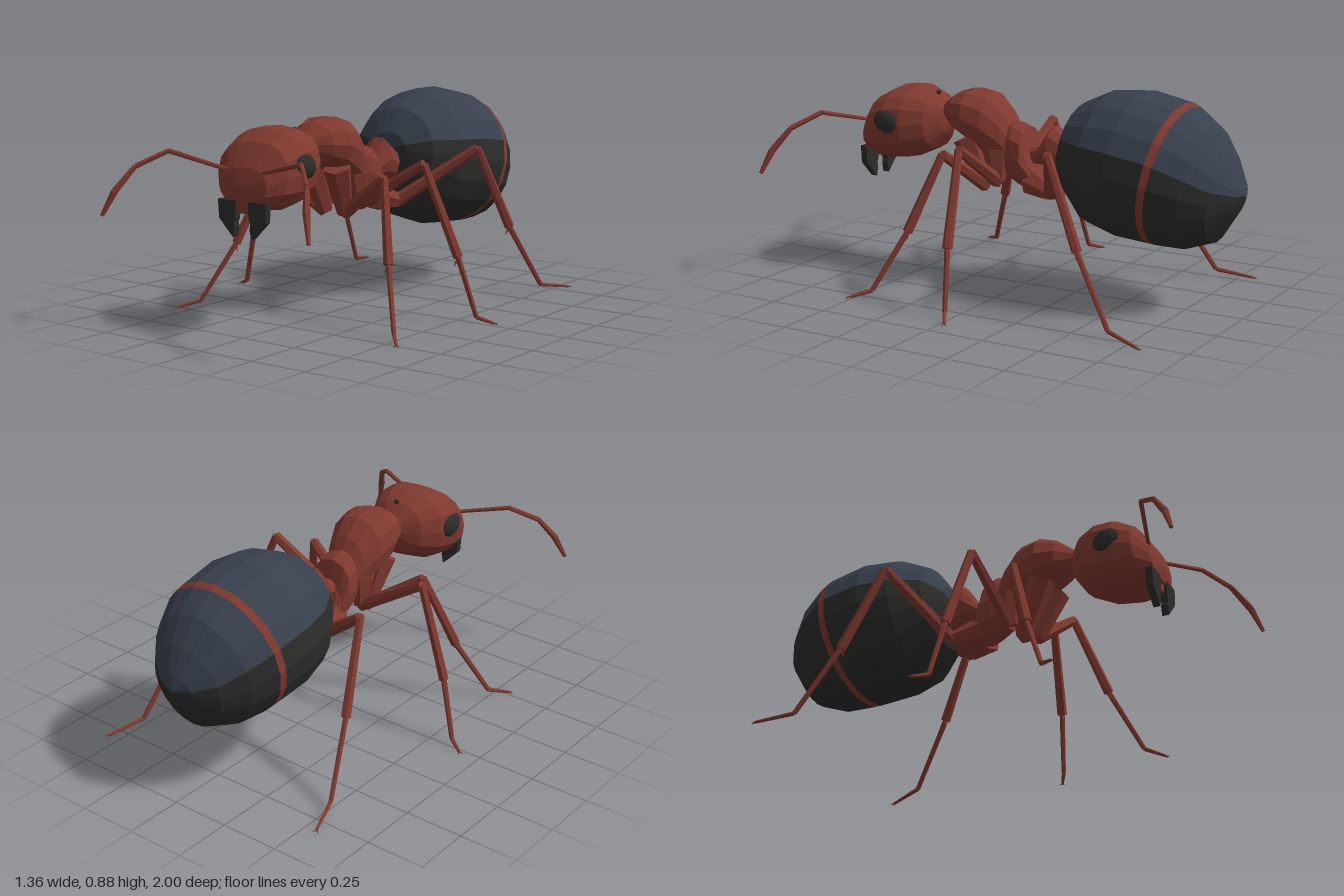
import * as THREE from 'three';

const mat = (name, color) => {
  const m = new THREE.MeshStandardMaterial({ color });
  m.name = name;
  m.flatShading = true;
  return m;
};

export function createModel() {
  const red = mat('rust red', 0x80392f);
  const blue = mat('slate blue', 0x38404d);
  const black = mat('soot black', 0x2c2c2b);
  const model = new THREE.Group();
  model.name = 'ant';

  const add = (name, geometry, material, parent = model) => {
    const mesh = new THREE.Mesh(geometry, material);
    mesh.name = name;
    parent.add(mesh);
    return mesh;
  };

  // Skin through rings ordered front to back: [top z, top y, bottom z, bottom y, half width]
  const loft = (rings, sides, power = 1, keep = () => true) => {
    const point = ([tz, ty, bz, by, w], j) => {
      const a = (j / sides) * Math.PI * 2;
      const bulge = (v) => Math.sign(v) * Math.pow(Math.abs(v), power);
      const c = bulge(Math.cos(a)) * w, s = bulge(Math.sin(a)) / 2;
      return [c, (ty + by) / 2 + (ty - by) * s, (tz + bz) / 2 + (tz - bz) * s];
    };
    const pos = [];
    for (let i = 0; i < rings.length - 1; i++) {
      for (let j = 0; j < sides; j++) {
        if (!keep(i, j)) continue;
        const a = point(rings[i], j), b = point(rings[i + 1], j);
        const c = point(rings[i + 1], j + 1), d = point(rings[i], j + 1);
        if (rings[i + 1][4] > 0) pos.push(...a, ...b, ...c);
        else pos.push(...a, ...b, ...d);
        if (rings[i][4] > 0 && rings[i + 1][4] > 0) pos.push(...a, ...c, ...d);
      }
    }
    const g = new THREE.BufferGeometry();
    g.setAttribute('position', new THREE.Float32BufferAttribute(pos, 3));
    g.computeVertexNormals();
    return g;
  };

  // Tapered limb segment between two points
  const segment = (name, from, to, r0, r1, parent) => {
    const a = new THREE.Vector3(...from), b = new THREE.Vector3(...to);
    const dir = b.clone().sub(a);
    const mesh = add(name, new THREE.CylinderGeometry(r1, r0, dir.length(), 6), red, parent);
    mesh.position.copy(a).add(b).multiplyScalar(0.5);
    mesh.quaternion.setFromUnitVectors(new THREE.Vector3(0, 1, 0), dir.normalize());
    return mesh;
  };

  // Abdomen: slate back, black belly, one red band
  const abdomen = [
    [-0.215, 0.64, -0.215, 0.64, 0],
    [-0.22, 0.71, -0.21, 0.57, 0.09],
    [-0.29, 0.81, -0.235, 0.44, 0.2],
    [-0.42, 0.87, -0.34, 0.32, 0.275],
    [-0.56, 0.88, -0.47, 0.28, 0.303],
    [-0.73, 0.845, -0.62, 0.268, 0.298],
    [-0.76, 0.832, -0.65, 0.265, 0.293],
    [-0.86, 0.76, -0.77, 0.262, 0.243],
    [-0.93, 0.66, -0.88, 0.3, 0.17],
    [-0.98, 0.56, -0.96, 0.42, 0.08],
    [-1.0, 0.5, -1.0, 0.5, 0],
  ];
  const band = 5;
  const isBack = (j) => j >= 1 && j < 9;
  add('abdomenBack', loft(abdomen, 20, 1, (i, j) => i !== band && isBack(j)), blue);
  add('abdomenBelly', loft(abdomen, 20, 1, (i, j) => i !== band && !isBack(j)), black);
  add('abdomenBand', loft(abdomen, 20, 1, (i) => i === band), red);

  // Head
  add('head', loft([
    [0.76, 0.59, 0.76, 0.59, 0],
    [0.735, 0.67, 0.75, 0.525, 0.115],
    [0.67, 0.765, 0.7, 0.5, 0.175],
    [0.59, 0.808, 0.62, 0.488, 0.193],
    [0.51, 0.812, 0.52, 0.5, 0.18],
    [0.43, 0.785, 0.42, 0.545, 0.13],
    [0.375, 0.73, 0.375, 0.61, 0.06],
    [0.355, 0.66, 0.355, 0.66, 0],
  ], 16, 0.82), red);

  // Thorax, rear thorax and waist
  add('thorax', loft([
    [0.39, 0.72, 0.39, 0.72, 0],
    [0.37, 0.755, 0.37, 0.685, 0.05],
    [0.31, 0.8, 0.31, 0.64, 0.11],
    [0.24, 0.822, 0.23, 0.6, 0.14],
    [0.15, 0.81, 0.14, 0.54, 0.13],
    [0.08, 0.745, 0.07, 0.5, 0.1],
    [0.04, 0.68, 0.03, 0.47, 0.08],
    [0.03, 0.58, 0.03, 0.58, 0],
  ], 12, 0.9), red);
  add('rearThorax', loft([
    [0.07, 0.58, 0.07, 0.58, 0],
    [0.06, 0.695, 0.06, 0.46, 0.08],
    [0.03, 0.7, 0.0, 0.43, 0.1],
    [-0.02, 0.68, -0.04, 0.415, 0.105],
    [-0.045, 0.58, -0.09, 0.4, 0.085],
    [-0.07, 0.52, -0.14, 0.385, 0.07],
    [-0.14, 0.49, -0.18, 0.385, 0.05],
    [-0.18, 0.45, -0.18, 0.45, 0],
  ], 12, 0.9), red);
  add('waist', loft([
    [-0.02, 0.55, -0.02, 0.55, 0],
    [-0.03, 0.6, -0.04, 0.5, 0.04],
    [-0.08, 0.605, -0.07, 0.53, 0.05],
    [-0.145, 0.7, -0.13, 0.52, 0.075],
    [-0.2, 0.66, -0.2, 0.51, 0.07],
    [-0.235, 0.64, -0.235, 0.55, 0.05],
    [-0.24, 0.6, -0.24, 0.6, 0],
  ], 10), red);

  // Small simple eye on the crown
  const ocellus = add('crownEye', new THREE.SphereGeometry(0.011, 8, 6), black);
  ocellus.position.set(0, 0.785, 0.425);

  // Mouth
  const lip = add('lip', new THREE.BoxGeometry(0.09, 0.05, 0.05), red);
  lip.position.set(0, 0.515, 0.715);

  // Leg joints for the +x side: hip, hip end, knee, shin end, ankle, toe
  const legs = {
    frontLeg: [[0.07, 0.62, 0.24], [0.05, 0.42, 0.16], [0.29, 0.59, 0.22], [0.39, 0.27, 0.33], [0.495, 0.03, 0.44], [0.555, 0.007, 0.51]],
    middleLeg: [[0.06, 0.58, 0.1], [0.07, 0.45, 0.09], [0.385, 0.64, 0.08], [0.53, 0.27, 0.045], [0.6, 0.03, 0.015], [0.66, 0.007, -0.02]],
    hindLeg: [[0.04, 0.46, -0.06], [0.08, 0.43, -0.17], [0.38, 0.66, -0.325], [0.44, 0.31, -0.49], [0.5, 0.035, -0.66], [0.55, 0.007, -0.81]],
  };

  for (const side of [1, -1]) {
    const label = side > 0 ? 'left' : 'right';
    const flip = ([x, y, z]) => [x * side, y, z];

    // Eye
    const eye = add(label + 'Eye', new THREE.SphereGeometry(1, 12, 8), black);
    eye.scale.set(0.032, 0.05, 0.062);
    eye.position.set(side * 0.172, 0.67, 0.58);
    eye.rotation.x = -0.3;

    // Toothed jaw blade
    const blade = new THREE.Shape([
      [0.03, 0.54], [0.034, 0.47], [0.042, 0.455], [0.037, 0.435], [0.045, 0.395],
      [0.075, 0.425], [0.115, 0.465], [0.12, 0.54],
    ].map(([x, y]) => new THREE.Vector2(x * side, y)));
    const jaw = add(label + 'Jaw', new THREE.ExtrudeGeometry(blade, { depth: 0.03, bevelEnabled: false }), black);
    jaw.position.z = 0.722;

    // Antenna
    const antenna = new THREE.Group();
    antenna.name = label + 'Antenna';
    model.add(antenna);
    const path = [[0.075, 0.65, 0.725], [0.33, 0.715, 0.8], [0.425, 0.655, 0.89], [0.475, 0.56, 0.955], [0.512, 0.465, 0.99]].map(flip);
    const thick = [0.008, 0.01, 0.011, 0.015, 0.008];
    for (let i = 0; i < 4; i++) {
      segment('antennaSegment', path[i], path[i + 1], thick[i], thick[i + 1], antenna);
    }

    // Legs
    for (const [name, joints] of Object.entries(legs)) {
      const leg = new THREE.Group();
      leg.name = label + name[0].toUpperCase() + name.slice(1);
      model.add(leg);
      const [hip, hipEnd, knee, shin, ankle, toe] = joints.map(flip);
      segment('hip', hip, hipEnd, 0.06, 0.033, leg);
      segment('thigh', hipEnd, knee, 0.03, 0.02, leg);
      segment('shin', knee, shin, 0.017, 0.021, leg);
      segment('foot', shin, ankle, 0.012, 0.01, leg);
      segment('toe', ankle, toe, 0.009, 0.006, leg);
      segment('spur', shin, [shin[0] - side * 0.012, shin[1] - 0.035, shin[2] + 0.01], 0.008, 0.001, leg);
      // Forked claw
      const out = new THREE.Vector3(...toe).sub(new THREE.Vector3(...ankle)).setY(0).normalize();
      for (const s of [1, -1]) {
        segment('claw', toe, [toe[0] + out.x * 0.016 - out.z * 0.01 * s, 0.003, toe[2] + out.z * 0.016 + out.x * 0.01 * s], 0.004, 0.001, leg);
      }
    }
  }
  return model;
}
